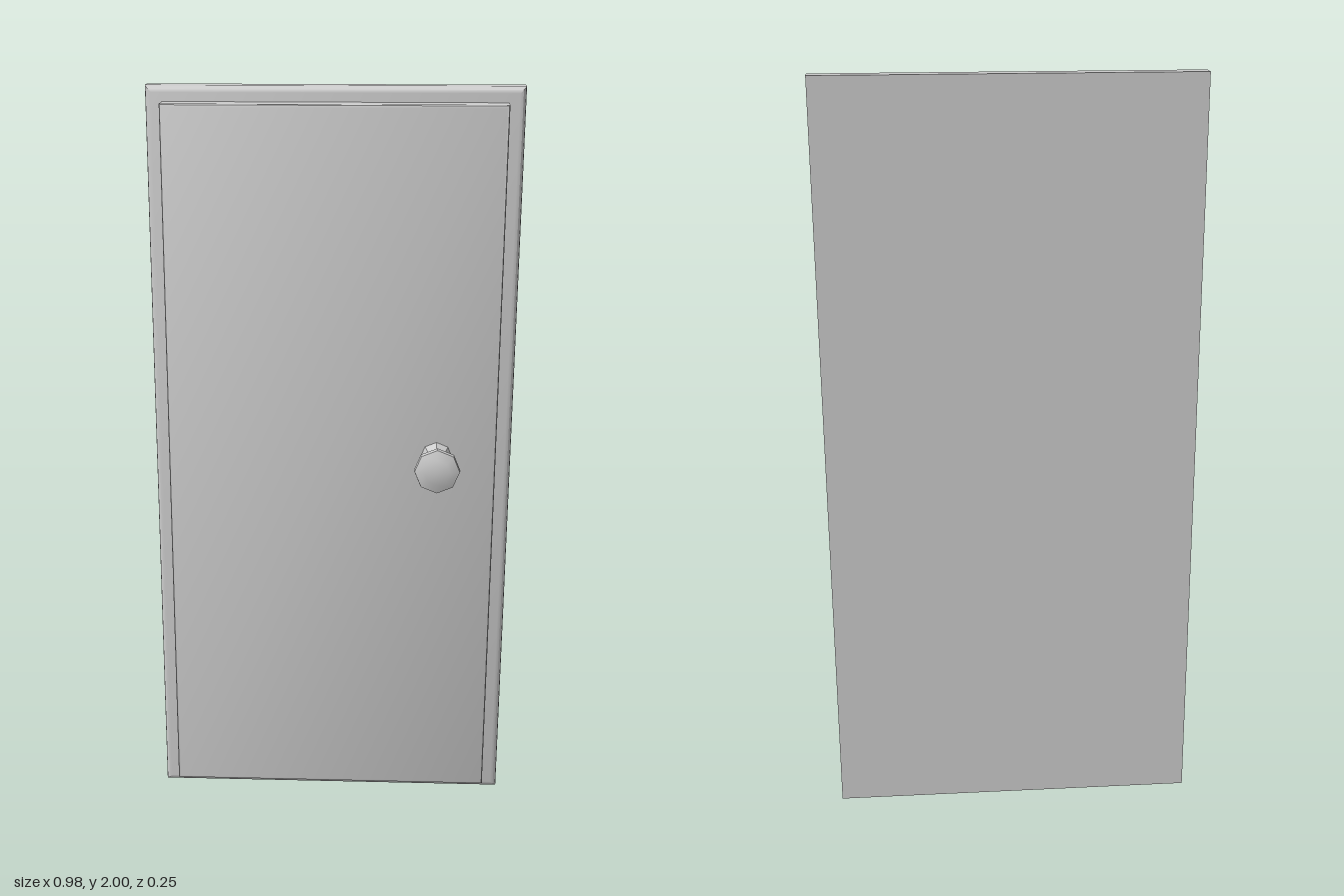
import * as THREE from 'three';
import { toCreasedNormals } from 'three/addons/utils/BufferGeometryUtils.js';

const material = new THREE.MeshStandardMaterial({ color: 0xcccccc });
const LEAN = 0.0055; // the door leans slightly towards +x with height

// Closed rectangular slab lofted through [inset, z] steps from back to front
function slab(name, halfWidth, bottom, top, profile) {
  const positions = [];
  const index = [];
  for (const [inset, z] of profile) {
    const w = halfWidth - inset, lo = bottom + inset, hi = top - inset;
    for (const [x, y] of [[-w, lo], [w, lo], [w, hi], [-w, hi]]) {
      positions.push(x + LEAN * (y - 1), y, z);
    }
  }
  for (let i = 0; i < profile.length - 1; i++) {
    for (let j = 0; j < 4; j++) {
      const a = i * 4 + j, b = i * 4 + (j + 1) % 4;
      index.push(a, b, b + 4, a, b + 4, a + 4);
    }
  }
  const f = (profile.length - 1) * 4;
  index.push(0, 2, 1, 0, 3, 2, f, f + 1, f + 2, f, f + 2, f + 3);
  const geometry = new THREE.BufferGeometry();
  geometry.setAttribute('position', new THREE.Float32BufferAttribute(positions, 3));
  geometry.setIndex(index);
  const mesh = new THREE.Mesh(toCreasedNormals(geometry, THREE.MathUtils.degToRad(40)), material);
  mesh.name = name;
  return mesh;
}

// Slab profile with a rounded front edge
function roundedProfile(back, front, radius, steps) {
  const profile = [[0, back]];
  for (let i = 0; i <= steps; i++) {
    const t = (i / steps) * Math.PI / 2;
    profile.push([radius * (1 - Math.cos(t)), front - radius * (1 - Math.sin(t))]);
  }
  return profile;
}

export function createModel() {
  const group = new THREE.Group();
  group.name = 'cabinetDoor';

  // Backing frame and raised door panel
  group.add(slab('frame', 0.485, 0, 2, roundedProfile(-0.127, -0.07, 0.017, 3)));
  group.add(slab('doorPanel', 0.44, 0.045, 1.96, roundedProfile(-0.072, -0.006, 0.008, 2)));

  // Eight-sided turned knob with a flared foot, narrow neck and domed face
  const profile = [
    [0.044, -0.008], [0.026, 0.032], [0.035, 0.055], [0.054, 0.085],
    [0.061, 0.1], [0.059, 0.113], [0.034, 0.122], [0, 0.125],
  ].map(([r, z]) => new THREE.Vector2(r, z));
  const knobGeometry = new THREE.LatheGeometry(profile, 8).rotateX(Math.PI / 2);
  const knob = new THREE.Mesh(toCreasedNormals(knobGeometry, THREE.MathUtils.degToRad(40)), material);
  knob.name = 'knob';
  knob.position.set(0.281, 1.036, 0);
  group.add(knob);

  return group;
}
